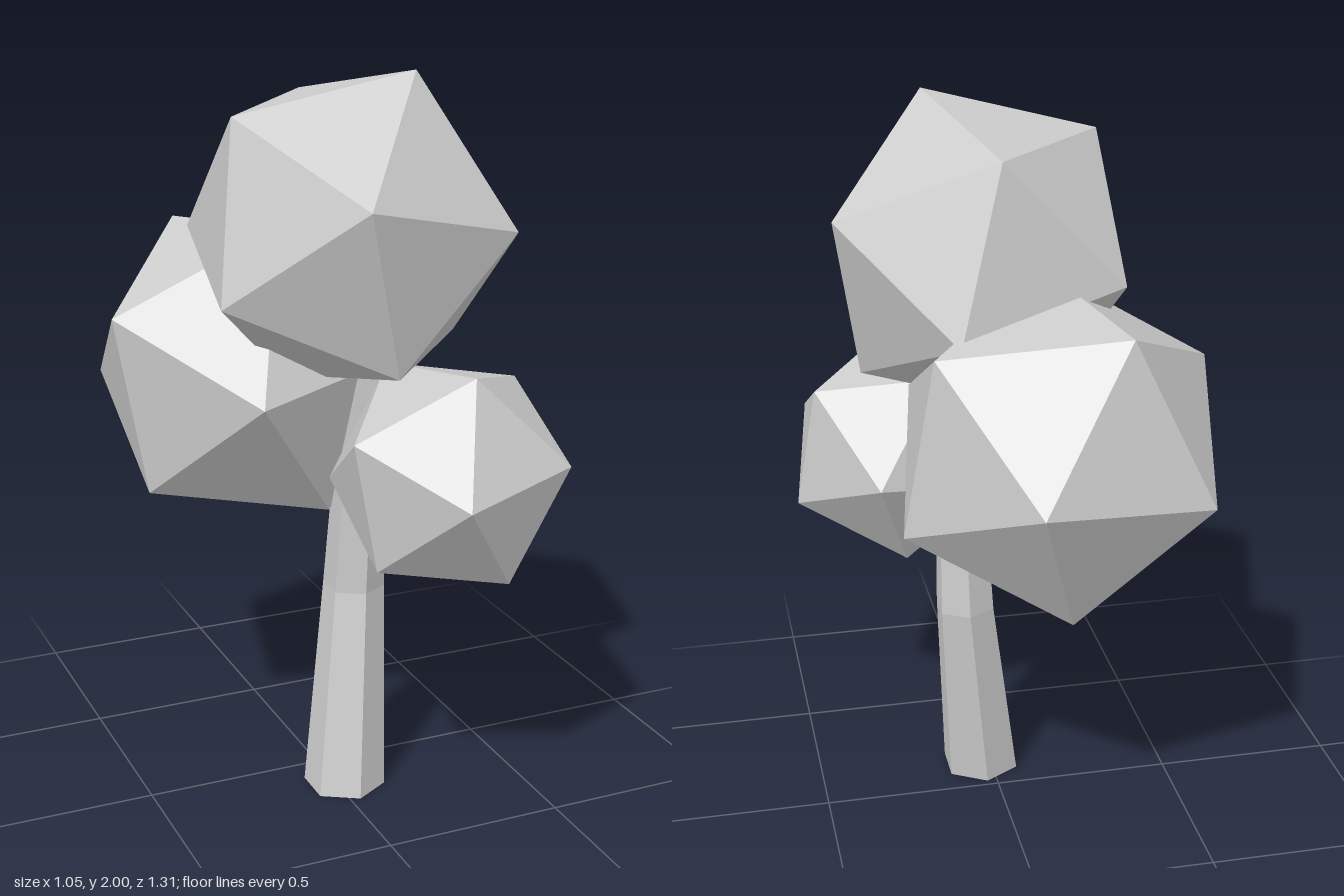
import * as THREE from 'three';

const material = new THREE.MeshStandardMaterial({ color: 0xcccccc, flatShading: true });
const vec = (p) => new THREE.Vector3(...p);

// Foliage clump: an icosahedron turned so that two neighbouring corners point at a and b
function clump(name, radius, center, a, b) {
  const c = vec(center);
  const da = vec(a).sub(c).normalize();
  const db = vec(b).sub(c).normalize();
  const z = da.clone().add(db).normalize();
  const y = da.clone().sub(db).normalize();
  const x = y.clone().cross(z);
  const mesh = new THREE.Mesh(new THREE.IcosahedronGeometry(radius, 0), material);
  mesh.quaternion.setFromRotationMatrix(new THREE.Matrix4().makeBasis(x, y, z));
  mesh.position.copy(c);
  mesh.name = name;
  return mesh;
}

// Bent, tapering six-sided trunk: each ring of a cylinder moves to its own centre and radius
function trunk() {
  const rings = [ // x, y, z, radius
    [0.028, 0, 0.132, 0.113],
    [0.083, 0.57, 0.065, 0.085],
    [0.09, 0.9, 0.085, 0.073],
    [0.11, 1.32, 0.15, 0.055],
  ];
  const last = rings.length - 1;
  const geometry = new THREE.CylinderGeometry(1, 1, 1, 6, last);
  const pos = geometry.attributes.position;
  for (let i = 0; i < pos.count; i++) {
    const [x, y, z, r] = rings[Math.round((pos.getY(i) + 0.5) * last)];
    pos.setXYZ(i, x + pos.getX(i) * r, y, z + pos.getZ(i) * r);
  }
  geometry.computeVertexNormals();
  const mesh = new THREE.Mesh(geometry, material);
  mesh.name = 'trunk';
  return mesh;
}

export function createModel() {
  const tree = new THREE.Group();
  tree.name = 'tree';
  tree.add(
    trunk(),
    clump('topFoliage', 0.449, [0.029, 1.588, 0.131], [0.155, 2, 0.26], [-0.3, 1.9, 0.16]),
    clump('backFoliage', 0.468, [-0.112, 1.16, -0.21], [-0.24, 1.53, -0.47], [0.02, 1.16, -0.66]),
    clump('frontFoliage', 0.331, [0.226, 0.966, 0.337], [0.225, 1.262, 0.485], [0.465, 1.02, 0.56]),
  );
  return tree;
}
